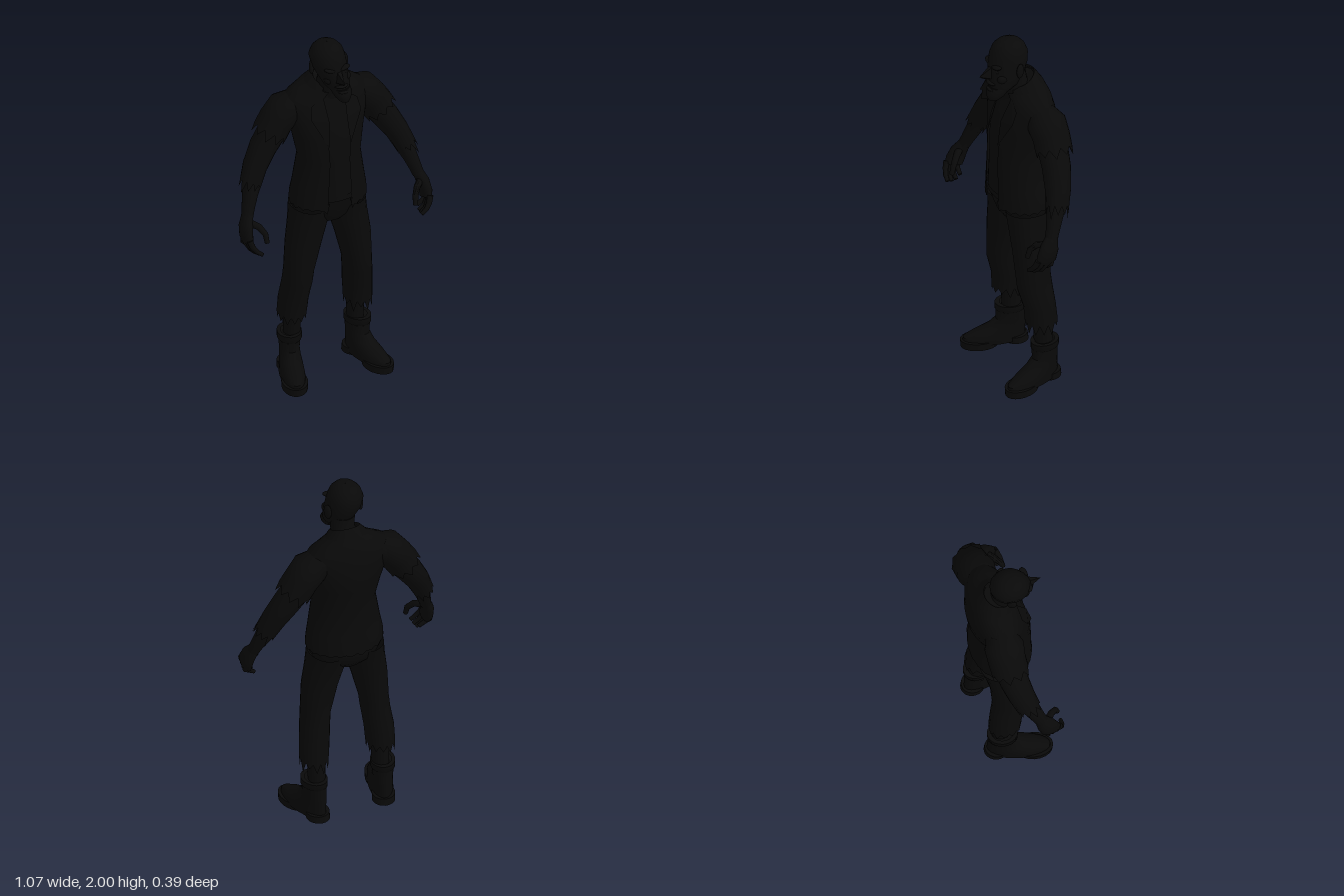
import * as THREE from 'three';
import { toCreasedNormals } from 'three/addons/utils/BufferGeometryUtils.js';
import { ConvexGeometry } from 'three/addons/geometries/ConvexGeometry.js';

const V = (x, y, z) => new THREE.Vector3(x, y, z);

// small seeded random for torn hems
let seed = 7;
const rnd = () => (seed = (seed * 16807) % 2147483647) / 2147483647;

// Surface through rings [x, y, z, radiusA, radiusB, tilt]. Level rings run upwards, with angle 0
// at the front; 'along' rings stand square to the path, with radiusA lying near the z axis.
function loft(rows, { seg = 20, along = false, gap = 0, cap = true, tornStart = 0, tornEnd = 0 } = {}) {
  const list = cap ? [[...rows[0]], ...rows, [...rows.at(-1)]] : rows;
  if (cap) for (const r of [list[0], list.at(-1)]) { r[3] = 0.001; r[4] = 0.001; r[5] = 0; }
  const n = list.length, pos = [], idx = [];
  const at = i => V(...list[Math.min(n - 1, Math.max(0, i))].slice(0, 3));
  list.forEach((r, i) => {
    let t = V(0, 1, 0), u = V(1, 0, 0);
    if (along) {
      t = at(i + 1).sub(at(i - 1));
      if (t.lengthSq() < 1e-9) t = at(i + 2).sub(at(i - 2));
      t.normalize();
      u = V(0, 0, 1).addScaledVector(t, -t.z).normalize();
    }
    const w = u.clone().cross(t);
    for (let j = 0; j <= seg; j++) {
      const a = gap + (j % seg === 0 && !gap ? 0 : j / seg) * (2 * Math.PI - 2 * gap);
      const p = at(i).addScaledVector(u, Math.sin(a) * r[3]).addScaledVector(w, Math.cos(a) * (r[4] ?? r[3]));
      p.y += (r[5] ?? 0) * Math.cos(a);
      const tooth = j % seg === 0 ? 0 : (j % 2) * (0.4 + 0.6 * rnd());
      if (i === 0) p.addScaledVector(t, -tornStart * tooth);
      if (i === n - 1) p.addScaledVector(t, tornEnd * tooth);
      pos.push(p.x, p.y, p.z);
    }
  });
  for (let i = 0; i < n - 1; i++) for (let j = 0; j < seg; j++) {
    const a = i * (seg + 1) + j, b = a + seg + 1;
    idx.push(a, a + 1, b + 1, a, b + 1, b);
  }
  const g = new THREE.BufferGeometry();
  g.setAttribute('position', new THREE.Float32BufferAttribute(pos, 3));
  g.setIndex(idx);
  return toCreasedNormals(g, 0.8);
}

export function createModel() {
  seed = 7;
  const root = new THREE.Group();
  root.name = 'raggedMan';
  const dark = new THREE.MeshStandardMaterial({ color: 0x090909, side: THREE.DoubleSide });
  dark.name = 'nearBlack';
  const add = (name, geo, parent = root) => {
    const m = new THREE.Mesh(geo, dark);
    m.name = name;
    parent.add(m);
    return m;
  };
  const ball = (name, p, sx, sy, sz) => {
    const m = add(name, new THREE.SphereGeometry(1, 14, 10));
    m.position.set(...p);
    m.scale.set(sx, sy, sz);
    return m;
  };
  const hull = (name, pts) => add(name, new ConvexGeometry(pts.map(p => V(...p))));

  // head, turned slightly and pushed forwards
  add('head', loft([
    [0.015, 1.735, 0.085, 0.045, 0.05], [0.008, 1.77, 0.062, 0.068, 0.08], [-0.005, 1.82, 0.042, 0.08, 0.098],
    [-0.018, 1.87, 0.028, 0.09, 0.106], [-0.025, 1.92, 0.018, 0.092, 0.1], [-0.025, 1.955, 0.018, 0.08, 0.086],
    [-0.025, 1.98, 0.018, 0.058, 0.063], [-0.025, 1.995, 0.018, 0.03, 0.034],
  ], { seg: 24 }));
  add('jaw', loft([
    [0.022, 1.692, 0.125, 0.026, 0.032], [0.02, 1.71, 0.115, 0.04, 0.048],
    [0.018, 1.735, 0.105, 0.052, 0.056], [0.012, 1.76, 0.085, 0.055, 0.06],
  ]));
  hull('nose', [[-0.02, 1.87, 0.13], [0.005, 1.87, 0.13], [-0.006, 1.826, 0.195], [-0.006, 1.812, 0.18],
    [-0.03, 1.808, 0.128], [0.02, 1.808, 0.128]]);
  ball('upperLip', [0.004, 1.783, 0.125], 0.038, 0.012, 0.03);
  ball('lowerLip', [0.012, 1.75, 0.135], 0.032, 0.009, 0.024);
  for (const s of [-1, 1]) {
    ball('brow', [-0.012 + s * 0.036, 1.878, 0.112], 0.036, 0.012, 0.022).rotation.z = s * 0.2;
    ball('eye', [-0.01 + s * 0.036, 1.853, 0.108], 0.018, 0.011, 0.014);
    ball('cheek', [-0.002 + s * 0.05, 1.815, 0.09], 0.024, 0.026, 0.03);
    ball('ear', [-0.013 + s * 0.092, 1.855, 0.005], 0.013, 0.042, 0.025).rotation.y = s * 0.4;
  }
  add('neck', loft([[0, 1.62, -0.045, 0.09, 0.09], [0, 1.7, -0.03, 0.068, 0.075],
    [0, 1.76, 0, 0.062, 0.068], [-0.005, 1.82, 0.01, 0.065, 0.07]]));

  // torso clothing
  const body = [
    [0, 1.09, -0.025, 0.205, 0.157], [0, 1.16, -0.02, 0.192, 0.152], [0, 1.32, -0.014, 0.167, 0.145],
    [0, 1.45, -0.033, 0.19, 0.158], [0, 1.54, -0.048, 0.215, 0.15], [0, 1.62, -0.06, 0.235, 0.13],
    [0, 1.67, -0.06, 0.215, 0.115, -0.01], [0, 1.705, -0.05, 0.15, 0.102, -0.03], [0, 1.74, -0.032, 0.085, 0.085, -0.04],
  ];
  add('shirt', loft(body.map(r => [r[0], r[1], r[2], r[3] - 0.012, r[4] - 0.012, r[5]]), { seg: 28 }));
  add('jacket', loft([[0, 1.05, -0.025, 0.207, 0.16], ...body],
    { seg: 40, gap: 0.33, cap: false, tornStart: 0.018 }));
  add('collar', loft([[0, 1.70, -0.045, 0.135, 0.1, -0.045], [0, 1.755, -0.035, 0.085, 0.08, -0.035],
    [0, 1.765, -0.035, 0.075, 0.07, -0.035]], { seg: 24, gap: 0.6, cap: false }));
  for (const s of [-1, 1]) {
    hull('lapel', [[s * 0.06, 1.69, 0.045], [s * 0.13, 1.64, 0.052], [s * 0.14, 1.58, 0.08],
      [s * 0.06, 1.42, 0.126], [s * 0.05, 1.56, 0.103], [s * 0.1, 1.56, 0.082]]);
    hull('frontTail', [[s * 0.06, 1.08, 0.128], [s * 0.12, 1.08, 0.1], [s * 0.07, 1.02, 0.122],
      [s * 0.06, 1.08, 0.118], [s * 0.12, 1.08, 0.09]]);
  }

  // trousers
  add('hips', loft([[0, 0.93, -0.035, 0.09, 0.09], [0, 0.97, -0.038, 0.17, 0.12],
    [0, 1.03, -0.035, 0.2, 0.138], [0, 1.1, -0.025, 0.195, 0.145]], { seg: 28 }));
  add('belt', loft([[0, 1.085, -0.022, 0.2, 0.148], [0, 1.115, -0.022, 0.197, 0.148]], { seg: 28, cap: false }));

  for (const s of [-1, 1]) {
    const side = new THREE.Group();
    side.name = s > 0 ? 'leftLimbs' : 'rightLimbs';
    root.add(side);
    const flip = rows => rows.map(([x, ...r]) => [s * x, ...r]);
    const limb = (name, rows, o) => add(name, loft(flip(rows), o), side);

    // leg
    limb('trouserLeg', [
      [0.186, 0.37, -0.062, 0.073, 0.085], [0.18, 0.46, -0.053, 0.077, 0.085], [0.168, 0.57, -0.032, 0.075, 0.094],
      [0.162, 0.64, -0.026, 0.076, 0.093], [0.138, 0.8, -0.024, 0.094, 0.098], [0.11, 0.93, -0.03, 0.103, 0.112],
      [0.102, 1.02, -0.035, 0.1, 0.128],
    ], { seg: 24, cap: false, tornStart: 0.07 });
    limb('shin', [[0.178, 0.16, -0.08, 0.042, 0.05], [0.178, 0.3, -0.075, 0.045, 0.052], [0.176, 0.45, -0.06, 0.055, 0.065]]);

    // boot, toes turned outwards
    const boot = new THREE.Group();
    boot.name = 'boot';
    boot.position.set(s * 0.19, 0, -0.082);
    boot.rotation.y = s * 0.27;
    side.add(boot);
    add('upper', loft([
      [0, 0.025, 0.09, 0.064, 0.165], [0, 0.055, 0.088, 0.063, 0.162], [0, 0.08, 0.065, 0.06, 0.138],
      [0, 0.11, 0.028, 0.055, 0.1], [0, 0.15, 0.005, 0.052, 0.075], [0, 0.235, 0.006, 0.06, 0.074],
    ], { seg: 24 }), boot);
    add('cuff', loft([[0, 0.205, 0.006, 0.06, 0.075], [0, 0.21, 0.006, 0.064, 0.079], [0, 0.245, 0.006, 0.064, 0.079],
      [0, 0.245, 0.006, 0.045, 0.055]], { cap: false }), boot);
    add('sole', loft([[0, 0, 0.165, 0.066, 0.098], [0, 0.04, 0.165, 0.068, 0.1]]), boot);
    add('heel', loft([[0, 0.012, -0.025, 0.06, 0.065], [0, 0.05, -0.02, 0.06, 0.065]]), boot);

    // arm and torn sleeves
    limb('sleeve', [
      [0.15, 1.62, -0.07, 0.085, 0.07], [0.215, 1.58, -0.075, 0.095, 0.085], [0.28, 1.49, -0.075, 0.08, 0.075],
      [0.345, 1.4, -0.065, 0.075, 0.07], [0.4, 1.31, -0.045, 0.068, 0.062], [0.433, 1.235, -0.025, 0.06, 0.054],
    ], { along: true, cap: false, tornEnd: 0.075 });
    limb('shoulderFlap', [
      [0.16, 1.64, -0.07, 0.07, 0.05], [0.215, 1.595, -0.075, 0.103, 0.09], [0.265, 1.535, -0.078, 0.098, 0.088],
      [0.295, 1.485, -0.075, 0.097, 0.09],
    ], { along: true, cap: false, tornEnd: 0.055 });
    limb('forearm', [[0.39, 1.32, -0.05, 0.045, 0.045], [0.44, 1.2, -0.01, 0.046, 0.042], [0.47, 1.11, 0.022, 0.036, 0.033],
      [0.482, 1.07, 0.037, 0.034, 0.03]], { along: true });
    limb('palm', [[0.48, 1.08, 0.033, 0.034, 0.028], [0.498, 1.035, 0.055, 0.05, 0.032],
      [0.505, 0.985, 0.075, 0.055, 0.03], [0.5, 0.955, 0.085, 0.048, 0.024]], { along: true });
    const finger = (name, pts, r) => limb(name, pts.map((p, i) => [...p, r * (1 - i * 0.12)]), { along: true, seg: 10 });
    for (let k = 0; k < 4; k++) {
      const z = 0.045 + k * 0.026, d = k === 0 ? 0.018 : k === 3 ? 0.008 : 0;
      finger('finger', [[0.508, 0.98, z], [0.515 - k * 0.006, 0.945, z + 0.012],
        [0.495 - k * 0.006, 0.91 + d, z + 0.022], [0.46 - k * 0.004, 0.888 + d, z + 0.025]], 0.0165);
    }
    finger('thumb', [[0.485, 1.05, 0.06], [0.445, 1.035, 0.1], [0.422, 1.0, 0.128], [0.418, 0.955, 0.14]], 0.02);
  }
  return root;
}
